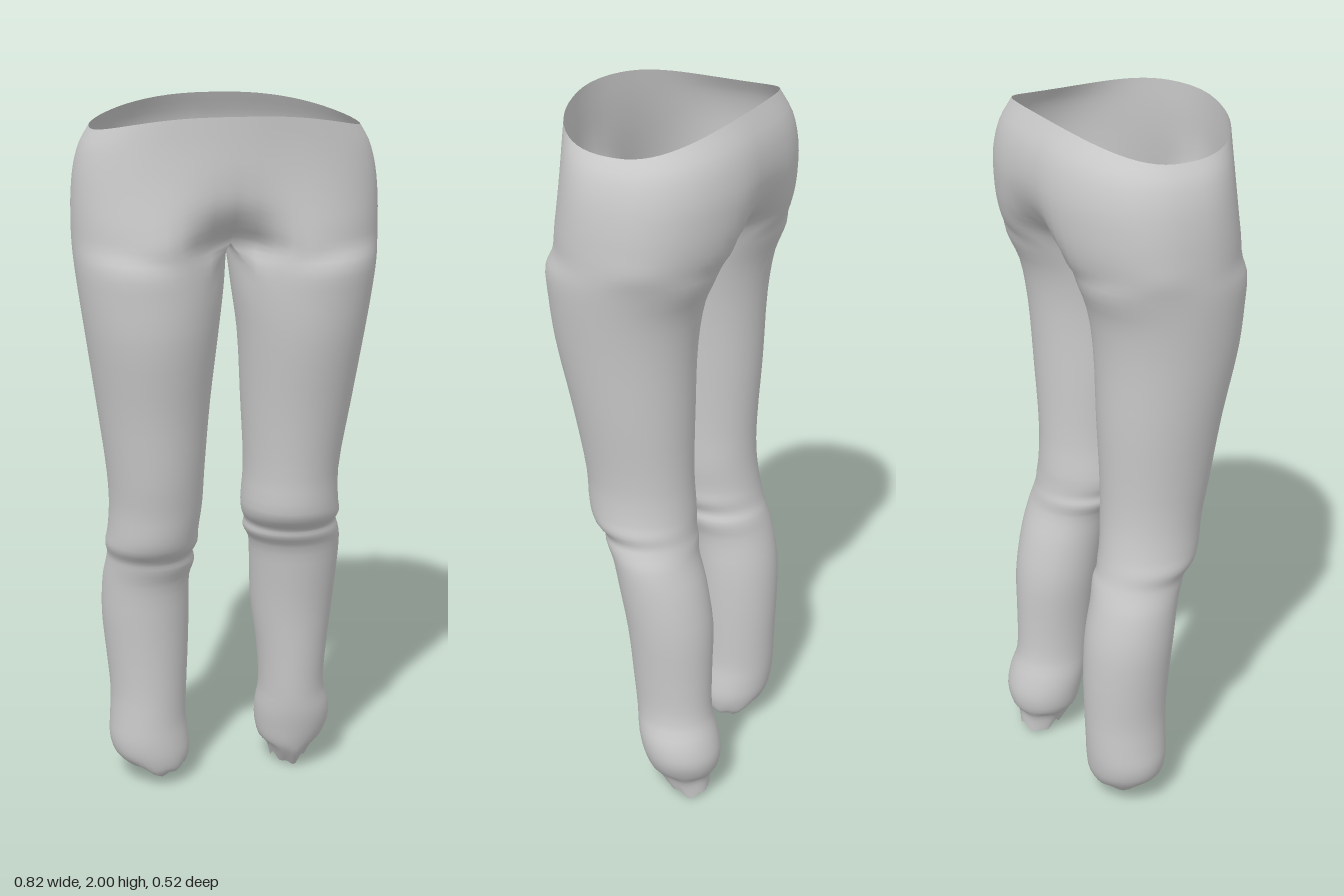
import * as THREE from 'three';
import { mergeVertices } from 'three/addons/utils/BufferGeometryUtils.js';

const OUT = 32, INN = 10, COLS = OUT + INN, SUB = 3;

// Leg sections, bottom to crotch: height, inner x, outer x, front z, back z, ragged edge
const leftLeg = [
  [0.02, 0.16, 0.265, -0.08, -0.2, 0.016], [0.07, 0.145, 0.28, -0.04, -0.205, 0.008],
  [0.1, 0.12, 0.305, -0.025, -0.222], [0.15, 0.108, 0.327, -0.01, -0.232], [0.21, 0.107, 0.327, 0.005, -0.222],
  [0.28, 0.115, 0.308, 0.015, -0.203], [0.4, 0.108, 0.312, 0.027, -0.2], [0.55, 0.088, 0.326, 0.042, -0.198],
  [0.68, 0.08, 0.334, 0.065, -0.175], [0.77, 0.073, 0.334, 0.085, -0.147], [0.81, 0.055, 0.325, 0.112, -0.14],
  [0.835, 0.058, 0.318, 0.118, -0.135], [0.865, 0.048, 0.324, 0.15, -0.132], [0.9, 0.044, 0.318, 0.168, -0.13],
  [1, 0.05, 0.316, 0.175, -0.125], [1.2, 0.04, 0.345, 0.205, -0.13], [1.4, 0.028, 0.374, 0.245, -0.14],
  [1.52, 0.012, 0.393, 0.258, -0.16], [1.6, 0.003, 0.405, 0.261, -0.195],
];
const rightLeg = [
  [0.045, 0.115, 0.235, -0.01, -0.135, 0.016], [0.06, 0.105, 0.27, 0.015, -0.16, 0.01],
  [0.1, 0.095, 0.315, 0.03, -0.182], [0.15, 0.098, 0.33, 0.035, -0.192], [0.21, 0.105, 0.328, 0.035, -0.197],
  [0.3, 0.103, 0.325, 0.035, -0.2], [0.42, 0.098, 0.335, 0.04, -0.203], [0.55, 0.095, 0.346, 0.05, -0.198],
  [0.66, 0.095, 0.342, 0.063, -0.178], [0.715, 0.082, 0.333, 0.083, -0.165], [0.745, 0.088, 0.33, 0.092, -0.155],
  [0.78, 0.076, 0.336, 0.122, -0.148], [0.82, 0.075, 0.33, 0.138, -0.142], [0.9, 0.065, 0.325, 0.15, -0.135],
  [1, 0.06, 0.33, 0.17, -0.135], [1.2, 0.045, 0.355, 0.2, -0.145], [1.4, 0.024, 0.382, 0.24, -0.152],
  [1.52, 0.01, 0.398, 0.25, -0.17], [1.6, 0.003, 0.407, 0.253, -0.2],
];
// Hip sections, crotch to waist: height, half width, front z, front dip, back z, back dip, rim lift
const hips = [
  [1.655, 0.41, 0.275, 0.145, -0.24, 0.12, 0], [1.71, 0.41, 0.268, 0.075, -0.256, 0.06, 0],
  [1.77, 0.408, 0.258, 0.02, -0.264, 0.025, 0], [1.84, 0.4, 0.25, -0.003, -0.266, 0.01, 0],
  [1.9, 0.383, 0.247, -0.01, -0.25, 0.004, 0.025], [1.945, 0.357, 0.25, -0.01, -0.212, 0, 0.055],
];

function legPoint([y, xi, xo, zf, zb, rag = 0], c) {
  const half = THREE.MathUtils.degToRad(145);
  const a = c <= OUT
    ? half - 2 * half * c / OUT
    : -half - (2 * Math.PI - 2 * half) * (c - OUT) / INN;
  return new THREE.Vector3(
    (xi + xo) / 2 + (xo - xi) / 2 * Math.cos(a),
    y + rag * (0.6 * Math.sin(3 * a) + 0.4 * Math.cos(7 * a)),
    (zf + zb) / 2 + (zf - zb) / 2 * Math.sin(a));
}

function hipPoint([y, w, zf, dipF, zb, dipB, lift], c) {
  const a = Math.PI * c / OUT, s = Math.max(0, Math.sin(a)), k = Math.cos(a);
  const x = c === 0 || c === OUT ? 0 : w * s ** 0.85;
  const valley = Math.exp(-((x / 0.1) ** 2));
  const z = k > 0 ? zf * k ** 0.85 - dipF * valley : zb * (-k) ** 0.85 + dipB * valley;
  return new THREE.Vector3(x, y + lift * k * k, z);
}

// One half of the trousers: closed leg loops, then open hip arcs meeting at x = 0
function addHalf(legRows, side, pos, index) {
  const base = pos.length / 3;
  const legLast = legRows.length * SUB;
  const total = (legRows.length + hips.length - 1) * SUB;
  for (let c = 0; c < COLS; c++) {
    const pts = legRows.map(r => legPoint(r, c));
    if (c <= OUT) hips.forEach(h => pts.push(hipPoint(h, c)));
    else {
      // Crotch seam spans from the front centre to the back centre
      const t = (c - OUT) / INN;
      const seam = hipPoint(hips[0], OUT).lerp(hipPoint(hips[0], 0), t);
      seam.y -= 0.02 * Math.sin(Math.PI * t);
      pts.push(seam);
    }
    const curve = new THREE.CatmullRomCurve3(pts);
    const steps = (pts.length - 1) * SUB;
    for (let r = 0; r <= total; r++) {
      const p = curve.getPoint(Math.min(r / steps, 1));
      const centre = r >= legLast && (c === 0 || c >= OUT);
      pos.push(centre ? 0 : side * Math.max(0, p.x), p.y, p.z);
    }
  }
  const id = (r, c) => base + (c % COLS) * (total + 1) + r;
  for (let r = 0; r < total; r++) {
    const n = r < legLast ? COLS : OUT;
    for (let c = 0; c < n; c++) {
      const a = id(r, c), b = id(r, c + 1), d = id(r + 1, c), e = id(r + 1, c + 1);
      if (side > 0) index.push(a, b, d, b, e, d);
      else index.push(a, d, b, b, d, e);
    }
  }
}

export function createModel() {
  const pos = [], index = [];
  addHalf(leftLeg, 1, pos, index);
  addHalf(rightLeg, -1, pos, index);

  // Join both halves along the centre seam so shading is continuous
  let geo = new THREE.BufferGeometry();
  geo.setAttribute('position', new THREE.Float32BufferAttribute(pos, 3));
  geo.setIndex(index);
  geo = mergeVertices(geo, 1e-4);
  geo.computeVertexNormals();

  const trousers = new THREE.Mesh(geo, new THREE.MeshStandardMaterial({
    color: 0xcccccc, side: THREE.DoubleSide,
  }));
  trousers.name = 'trousers';
  const group = new THREE.Group();
  group.name = 'trousersModel';
  group.add(trousers);
  return group;
}
